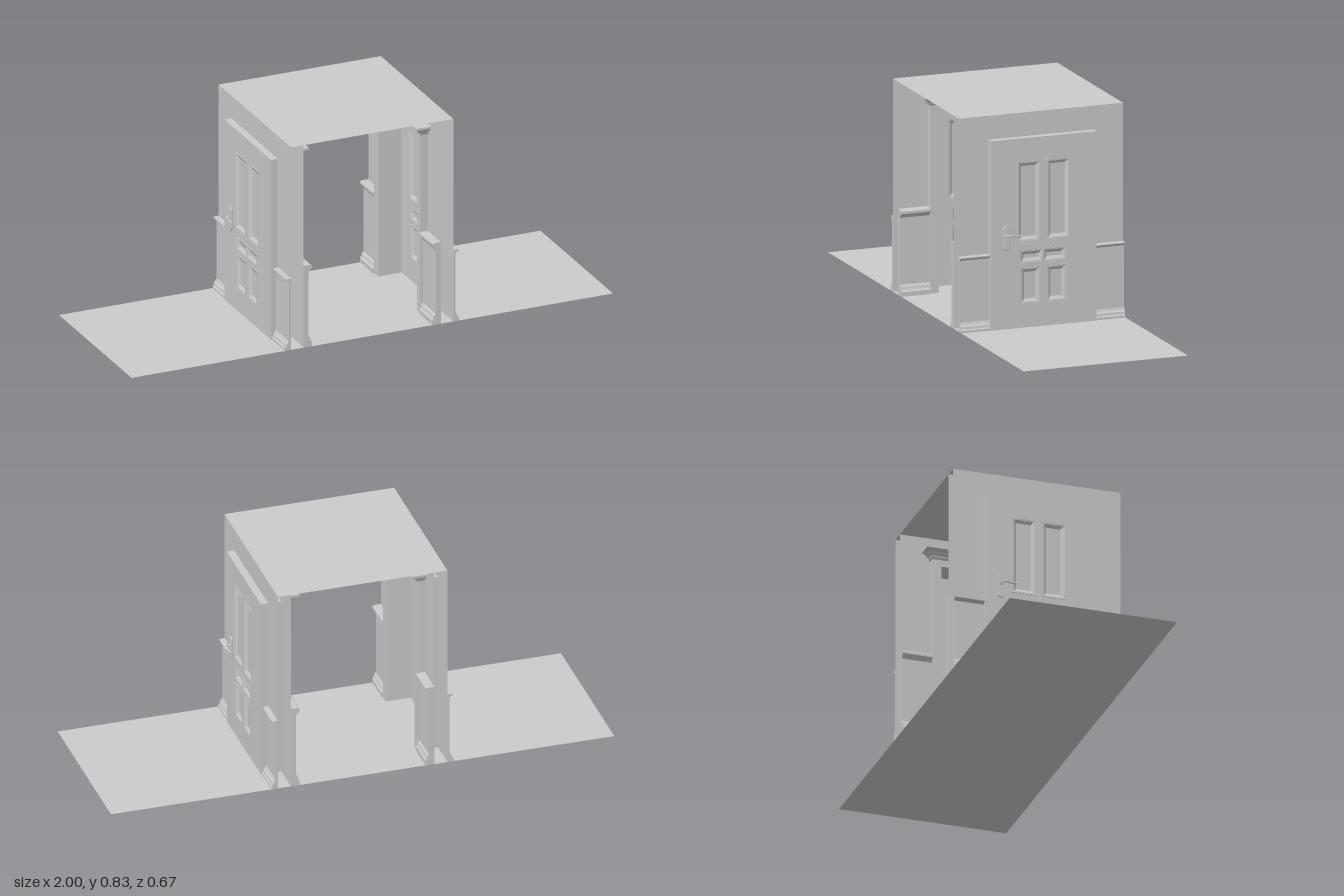
import * as THREE from 'three';

const mat = new THREE.MeshStandardMaterial({ color: 0xcccccc, side: THREE.DoubleSide });
const W = 0.335, H = 0.833;            // half depth and height of the room
const WALL_IN = 0.285, WALL_OUT = 0.337;
const DOOR_X = 0.36, DOOR_HALF = 0.006; // middle plane and half thickness of the door

function add(parent, name, geometry) {
  const m = new THREE.Mesh(geometry, mat);
  m.name = name;
  parent.add(m);
  return m;
}

const shapeOf = pts => new THREE.Shape(pts.map(p => new THREE.Vector2(...p)));
const rect = (z0, z1, y0, y1) => [[z0, y0], [z1, y0], [z1, y1], [z0, y1]];

// Extrude a (z, y) shape so that it fills x0..x1
function slab(shape, x0, x1) {
  const g = new THREE.ExtrudeGeometry(shape, { depth: x1 - x0, bevelEnabled: false });
  return g.rotateY(-Math.PI / 2).translate(x1, 0, 0);
}

// Join rings of four points with flat facets and close the last ring
function loft(rings, capFirst = false) {
  const v = [];
  const quad = (a, b, c, d) => v.push(...a, ...b, ...c, ...a, ...c, ...d);
  for (let i = 0; i < rings.length - 1; i++)
    for (let k = 0; k < 4; k++) {
      const n = (k + 1) % 4;
      quad(rings[i][k], rings[i][n], rings[i + 1][n], rings[i + 1][k]);
    }
  quad(...rings[rings.length - 1]);
  if (capFirst) quad(...[...rings[0]].reverse());
  const g = new THREE.BufferGeometry();
  g.setAttribute('position', new THREE.Float32BufferAttribute(v, 3));
  g.computeVertexNormals();
  return g;
}

// Recessed panel: raised rim, sloped bevel, flat field
function panelGeometry(z0, z1, y0, y1) {
  const steps = [[0, 0.366], [0, 0.369], [0.007, 0.368], [0.009, 0.366], [0.018, 0.361]];
  return loft(steps.map(([i, x]) =>
    rect(z1 - i, z0 + i, y0 + i, y1 - i).map(([z, y]) => [x, y, z])));
}

// Lever handle on a rounded plate
function handle() {
  const g = new THREE.Group();
  const r = 0.011, s = new THREE.Shape();
  s.absarc(0.155, 0.39, r, 0, Math.PI);
  s.absarc(0.155, 0.321, r, Math.PI, Math.PI * 2);
  s.closePath();
  const plate = new THREE.ExtrudeGeometry(s, {
    depth: 0.003, bevelThickness: 0.002, bevelSize: 0.002, bevelSegments: 3, curveSegments: 12
  });
  plate.rotateY(-Math.PI / 2).translate(0.371, 0, 0);
  add(g, 'handlePlate', plate);
  const path = new THREE.CatmullRomCurve3([
    [0.366, 0.366, 0.155], [0.38, 0.366, 0.155], [0.388, 0.367, 0.151],
    [0.389, 0.37, 0.138], [0.389, 0.365, 0.118], [0.388, 0.366, 0.1]
  ].map(p => new THREE.Vector3(...p)));
  add(g, 'lever', new THREE.TubeGeometry(path, 28, 0.0033, 10));
  const tip = add(g, 'leverTip', new THREE.SphereGeometry(0.0034, 10, 8));
  tip.position.set(0.388, 0.366, 0.1);
  const collar = add(g, 'collar', new THREE.CylinderGeometry(0.006, 0.007, 0.006, 16));
  collar.rotation.z = -Math.PI / 2;
  collar.position.set(0.374, 0.366, 0.155);
  return g;
}

// Door leaf with panels and handles on both faces
function door() {
  const g = new THREE.Group();
  g.name = 'door';
  const panels = [
    [0.016, 0.109, 0.338, 0.649], [-0.104, -0.011, 0.338, 0.649],
    [0.004, 0.098, 0.253, 0.303], [-0.09, 0.004, 0.253, 0.303],
    [0.016, 0.096, 0.095, 0.234], [-0.091, -0.011, 0.095, 0.234]
  ];
  const leaf = shapeOf(rect(-0.18, 0.18, 0, 0.708));
  for (const p of [panels[0], panels[1], [-0.09, 0.098, 0.253, 0.303], panels[4], panels[5]])
    leaf.holes.push(shapeOf(rect(...p)));
  add(g, 'doorLeaf', slab(leaf, DOOR_X - DOOR_HALF, DOOR_X + DOOR_HALF));
  for (const side of [1, -1]) {
    const face = new THREE.Group();
    face.name = side > 0 ? 'outerFace' : 'innerFace';
    for (const p of panels) add(face, 'doorPanel', panelGeometry(...p));
    const h = handle();
    h.name = 'handle';
    face.add(h);
    face.scale.x = side;
    face.position.x = side > 0 ? 0 : 2 * DOOR_X;
    g.add(face);
  }
  return g;
}

// Wainscot profiles: [distance from wall, height]
const innerProfile = [[0, 0], [0.035, 0], [0.035, 0.018], [0.03, 0.024], [0.027, 0.036],
  [0.021, 0.044], [0.021, 0.305], [0.025, 0.312], [0.03, 0.318], [0.034, 0.322],
  [0.034, 0.332], [0.03, 0.336], [0, 0.336]];
const outerProfile = [[0, 0], [0.025, 0], [0.025, 0.009], [0.021, 0.012], [0.019, 0.023],
  [0.013, 0.03], [0.012, 0.035], [0.008, 0.036], [0.008, 0.279], [0.013, 0.283],
  [0.019, 0.286], [0.022, 0.289], [0.022, 0.293], [0, 0.294]];

// One wall with its door, built at +x
function doorWall() {
  const g = new THREE.Group();
  const wall = shapeOf([[-W, 0], [-0.215, 0], [-0.215, 0.74], [0.215, 0.74],
    [0.215, 0], [W, 0], [W, H], [-W, H]]);
  for (const [name, x] of [['innerWall', WALL_IN], ['outerWall', WALL_OUT]])
    add(g, name, new THREE.ShapeGeometry(wall).rotateY(-Math.PI / 2).translate(x, 0, 0));

  const frame = shapeOf([[-0.215, 0], [-0.18, 0], [-0.18, 0.708], [0.18, 0.708],
    [0.18, 0], [0.215, 0], [0.215, 0.74], [-0.215, 0.74]]);
  add(g, 'doorFrame', slab(frame, 0.255, 0.366));
  g.add(door());

  // Cornice above the inner side, returning at its ends
  const cornice = [[0, 0.735], [0.004, 0.74], [0.007, 0.748], [0.013, 0.752], [0.018, 0.76],
    [0.028, 0.766], [0.032, 0.768], [0.032, 0.777]];
  add(g, 'cornice', loft(cornice.map(([o, y]) =>
    rect(WALL_IN, 0.255 - o, -0.215 - o, 0.215 + o).map(([x, z]) => [x, y, z])), true));

  // Wainscot strips on each side of the door, inside and outside
  const strips = [['innerWainscot', innerProfile, WALL_IN, -1],
    ['outerWainscot', outerProfile, WALL_OUT, 1]];
  for (const [name, profile, x, dir] of strips)
    for (const z of [0.215, -W]) {
      const s = shapeOf(profile.map(([d, y]) => [x + dir * d, y]));
      add(g, name, new THREE.ExtrudeGeometry(s, { depth: W - 0.215, bevelEnabled: false })
        .translate(0, 0, z));
    }
  return g;
}

export function createModel() {
  const model = new THREE.Group();
  model.name = 'doorwayRoom';
  add(model, 'floor', new THREE.PlaneGeometry(2, 2 * W).rotateX(-Math.PI / 2));
  add(model, 'ceiling', new THREE.PlaneGeometry(2 * WALL_OUT, 2 * W)
    .rotateX(-Math.PI / 2).translate(0, H, 0));
  for (const name of ['leftDoorWall', 'rightDoorWall']) {
    const wall = doorWall();
    wall.name = name;
    if (name === 'rightDoorWall') wall.rotation.y = Math.PI;
    model.add(wall);
  }
  return model;
}
